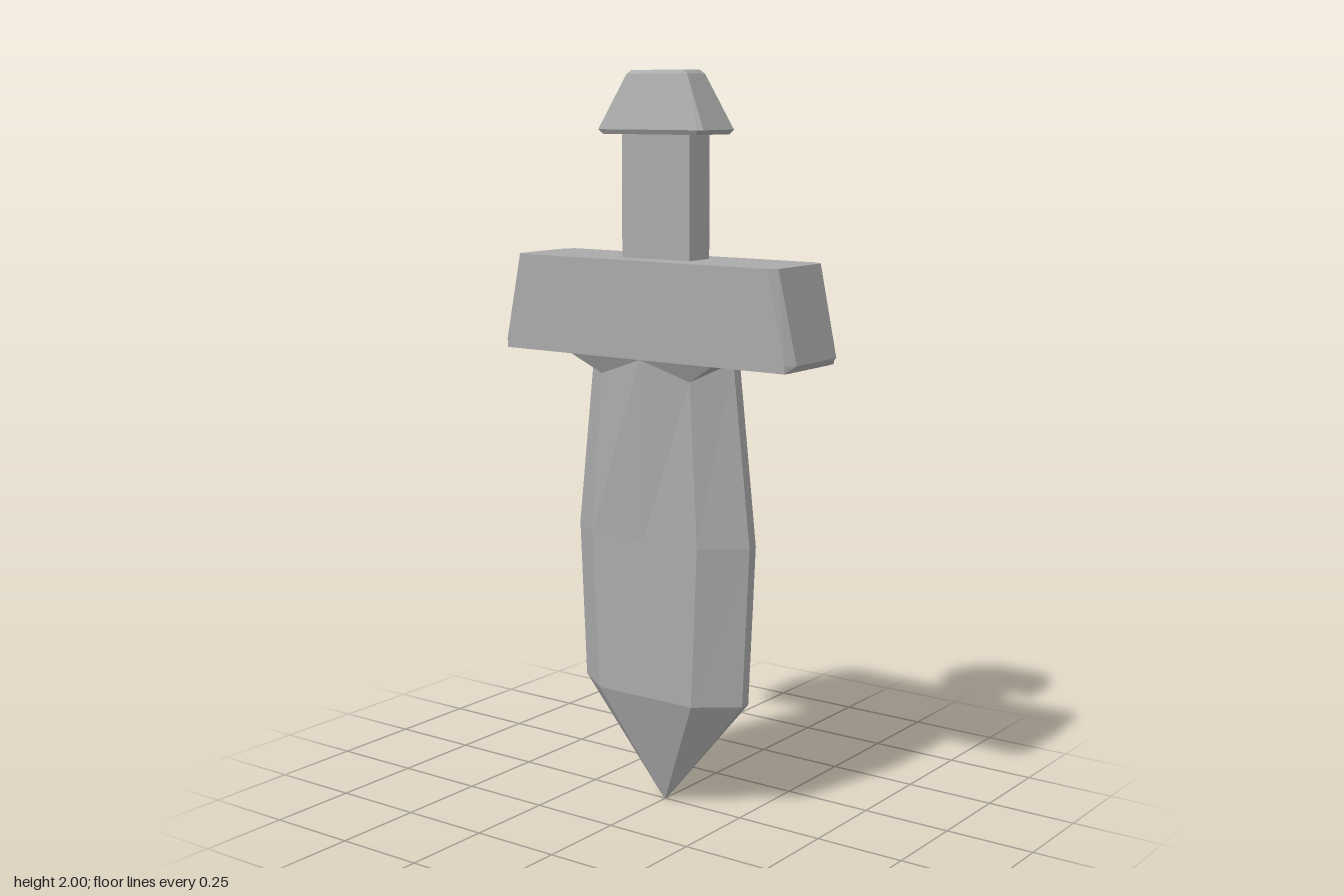
import * as THREE from 'three';
import { ConvexGeometry } from 'three/addons/geometries/ConvexGeometry.js';

// Skin a stack of rings (bottom to top, each counterclockwise from above) and cap both ends
function loft(rings) {
  const pos = [];
  const tri = (a, b, c) => pos.push(...a, ...b, ...c);
  const n = rings[0].length;
  for (let r = 0; r < rings.length - 1; r++) {
    const lo = rings[r], hi = rings[r + 1];
    for (let i = 0; i < n; i++) {
      const j = (i + 1) % n;
      tri(lo[i], lo[j], hi[j]);
      tri(lo[i], hi[j], hi[i]);
    }
  }
  const bottom = rings[0], top = rings[rings.length - 1];
  for (let i = 1; i < n - 1; i++) {
    tri(top[0], top[i], top[i + 1]);
    tri(bottom[0], bottom[i + 1], bottom[i]);
  }
  const geo = new THREE.BufferGeometry();
  geo.setAttribute('position', new THREE.Float32BufferAttribute(pos, 3));
  geo.computeVertexNormals();
  return geo;
}

// Rectangle ring with cut corners: half sizes x, z and corner cuts cx, cz
function cutRect(y, x, z, cx, cz) {
  return [
    [x - cx, z], [x, z - cz], [x, cz - z], [x - cx, -z],
    [cx - x, -z], [-x, cz - z], [-x, z - cz], [cx - x, z],
  ].map(([px, pz]) => [px, y, pz]);
}

// Blade ring: central ridge, flat-face corner and thin cutting edge, mirrored all round
function bladeRing(edgeY, edgeX, edgeZ, cornerY, cornerX, cornerZ, ridgeZ) {
  const right = [
    [0, edgeY, ridgeZ], [cornerX, cornerY, cornerZ], [edgeX, edgeY, edgeZ],
    [edgeX, edgeY, -edgeZ], [cornerX, cornerY, -cornerZ],
  ];
  return [...right, ...right.map(([x, y, z]) => [-x, y, -z])];
}

export function createModel() {
  const model = new THREE.Group();
  const steel = new THREE.MeshStandardMaterial({ color: 0xaaaaaa });
  steel.name = 'grey';
  steel.flatShading = true;
  const add = (name, geo, parent = model) => {
    const mesh = new THREE.Mesh(geo, steel);
    mesh.name = name;
    parent.add(mesh);
    return mesh;
  };

  // Leaf-shaped blade
  add('blade', loft([
    bladeRing(0, 0.002, 0.002, 0, 0.001, 0.003, 0.003),
    bladeRing(0.32, 0.265, 0.015, 0.32, 0.155, 0.097, 0.097),
    bladeRing(0.76, 0.285, 0.015, 0.76, 0.175, 0.1, 0.1),
    bladeRing(1.25, 0.23, 0.015, 1.2, 0.145, 0.092, 0.117),
  ]));

  // Four wedges joining the blade shoulders to the guard
  const collar = new THREE.Group();
  collar.name = 'collar';
  model.add(collar);
  for (const sx of [1, -1]) {
    for (const sz of [1, -1]) {
      add('collarWedge', new ConvexGeometry([
        [0, 1.255, 0], [0, 1.25, 0.117], [0.23, 1.25, 0.117],
        [0.23, 1.25, 0.015], [0.145, 1.2, 0.092],
      ].map(([x, y, z]) => new THREE.Vector3(x * sx, y, z * sz))), collar);
    }
  }

  // Flared crossguard with cut corners
  add('guard', loft([
    cutRect(1.25, 0.456, 0.119, 0.003, 0.024),
    cutRect(1.27, 0.475, 0.119, 0.021, 0.024),
    cutRect(1.51, 0.421, 0.119, 0.021, 0.019),
  ]));

  // Square grip
  const grip = add('grip', new THREE.BoxGeometry(0.22, 0.36, 0.09));
  grip.position.y = 1.67;

  // Tapered pommel with fine bevels
  add('pommel', loft([
    cutRect(1.835, 0.16, 0.074, 0.012, 0.012),
    cutRect(1.847, 0.17, 0.081, 0.012, 0.012),
    cutRect(1.99, 0.098, 0.05, 0.012, 0.01),
    cutRect(2, 0.086, 0.038, 0.004, 0.004),
  ]));

  return model;
}
